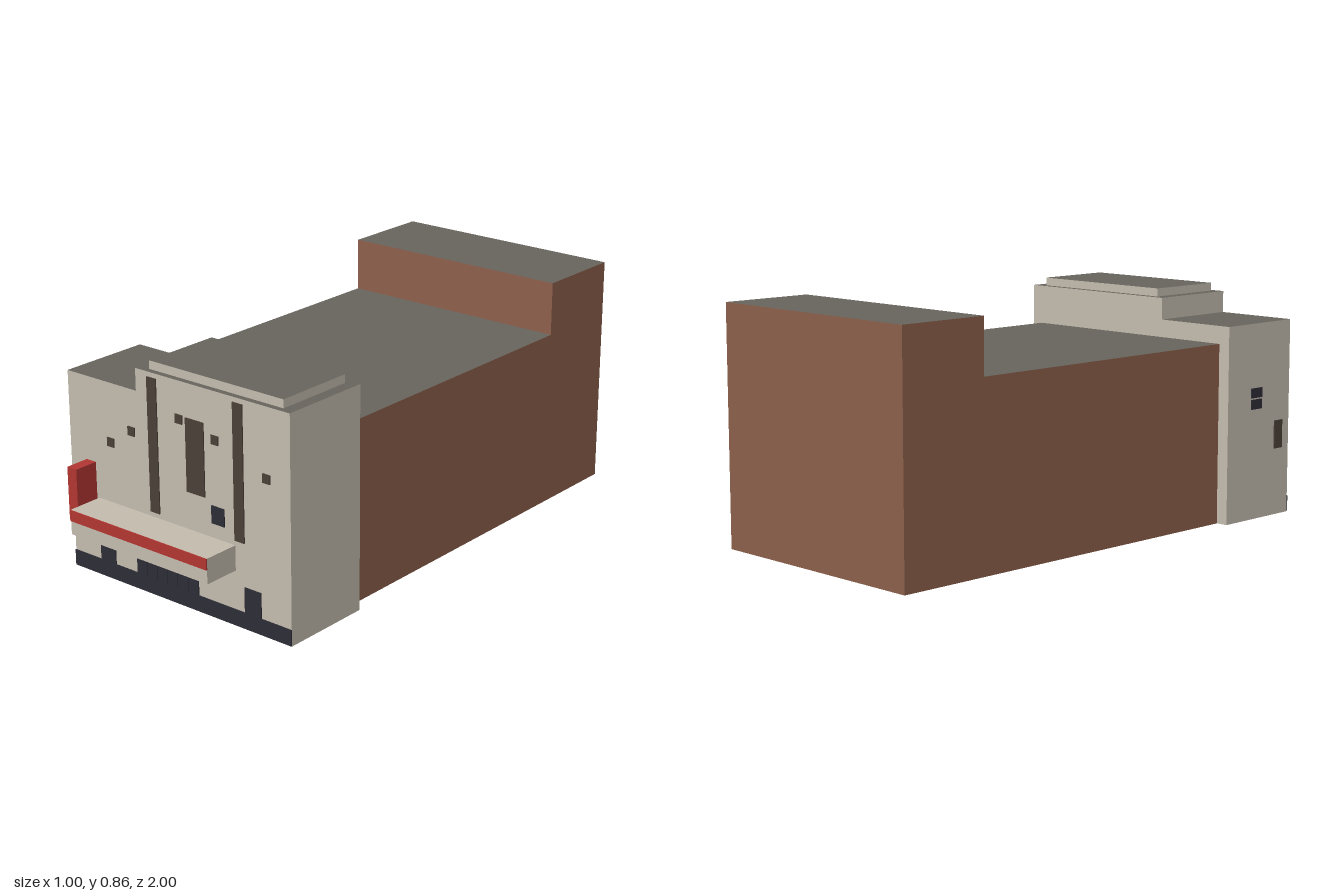
import * as THREE from 'three';

const mat = (name, color) => {
  const m = new THREE.MeshStandardMaterial({ color, side: THREE.DoubleSide });
  m.name = name;
  return m;
};

export function createModel() {
  const stone = mat('stone', 0xc4bcae);
  const brick = mat('brick', 0x8d604b);
  const roof = mat('roof', 0x67655d);
  const red = mat('red', 0xb23632);
  const navy = mat('navy', 0x2d2d37);
  const umber = mat('umber', 0x4b4038);

  const building = new THREE.Group();
  building.name = 'building';

  const place = (name, geo, material, x0, x1, y0, y1, z0, z1) => {
    const mesh = new THREE.Mesh(geo, material);
    mesh.name = name;
    mesh.position.set((x0 + x1) / 2, (y0 + y1) / 2, (z0 + z1) / 2);
    building.add(mesh);
    return mesh;
  };
  const box = (name, material, x0, x1, y0, y1, z0, z1) =>
    place(name, new THREE.BoxGeometry(x1 - x0, y1 - y0, z1 - z0), material, x0, x1, y0, y1, z0, z1);

  // Hollow volume: four walls and a roof, with no floor
  const shell = (name, wall, x0, x1, y0, y1, z0, z1) => {
    const geo = new THREE.BoxGeometry(x1 - x0, y1 - y0, z1 - z0);
    const idx = Array.from(geo.index.array);
    idx.splice(18, 6);
    geo.setIndex(idx);
    geo.clearGroups();
    geo.addGroup(0, 12, 0);
    geo.addGroup(12, 6, 1);
    geo.addGroup(18, 12, 0);
    return place(name, geo, [wall, roof], x0, x1, y0, y1, z0, z1);
  };

  // Long hall and the taller block behind it
  shell('auditorium', brick, -0.453, 0.453, 0, 0.66, -0.653, 0.51);
  shell('rearBlock', brick, -0.453, 0.453, 0, 0.857, -1, -0.653);

  // Stepped front block
  const front = 0.86;
  shell('lowFrontBlock', stone, -0.497, -0.173, 0, 0.725, 0.512, front);
  shell('mainFrontBlock', stone, -0.173, 0.497, 0, 0.805, 0.512, front);
  shell('parapet', stone, -0.13, 0.453, 0.805, 0.835, 0.535, 0.838);

  // Thin painted plates on the front face
  const plate = (name, material, x0, x1, y0, y1) =>
    box(name, material, x0, x1, y0, y1, front - 0.001, front + 0.004);

  plate('basePlinth', navy, -0.497, 0.497, 0.002, 0.06);
  plate('rightDoor', navy, -0.368, -0.297, 0.06, 0.152);
  plate('leftDoor', navy, 0.298, 0.369, 0.06, 0.152);
  for (let i = 0; i < 6; i++) {
    const x = -0.193 + i * 0.0478;
    plate('entranceDoor', navy, x, x + 0.0455, 0.06, 0.144);
  }
  for (const x of [-0.12, 0.258]) plate('verticalStrip', umber, x, x + 0.042, 0.308, 0.788);
  plate('tallPanel', umber, 0.05, 0.13, 0.425, 0.685);
  plate('frontWindow', navy, 0.158, 0.214, 0.342, 0.405);
  for (const [x, y] of [[-0.3, 0.511], [-0.2, 0.575], [0.02, 0.672], [0.178, 0.637], [0.398, 0.56]])
    plate('squareVent', umber, x - 0.016, x + 0.016, y - 0.016, y + 0.016);

  // Windows on the right-hand wall
  const sidePlate = (name, material, y0, y1, z0, z1) =>
    box(name, material, -0.501, -0.496, y0, y1, z0, z1);
  sidePlate('sideWindowLower', navy, 0.41, 0.446, 0.64, 0.7);
  sidePlate('sideWindowUpper', navy, 0.452, 0.488, 0.64, 0.7);
  sidePlate('sidePanel', umber, 0.25, 0.355, 0.775, 0.82);

  // Canopy with red fascia, and the upright blade sign
  box('canopy', stone, -0.368, 0.258, 0.2, 0.29, front, 0.996);
  box('canopyFascia', red, -0.368, 0.258, 0.25, 0.29, 0.995, 1);
  box('bladeSign', red, -0.411, -0.368, 0.23, 0.425, 0.87, 0.962);

  return building;
}
